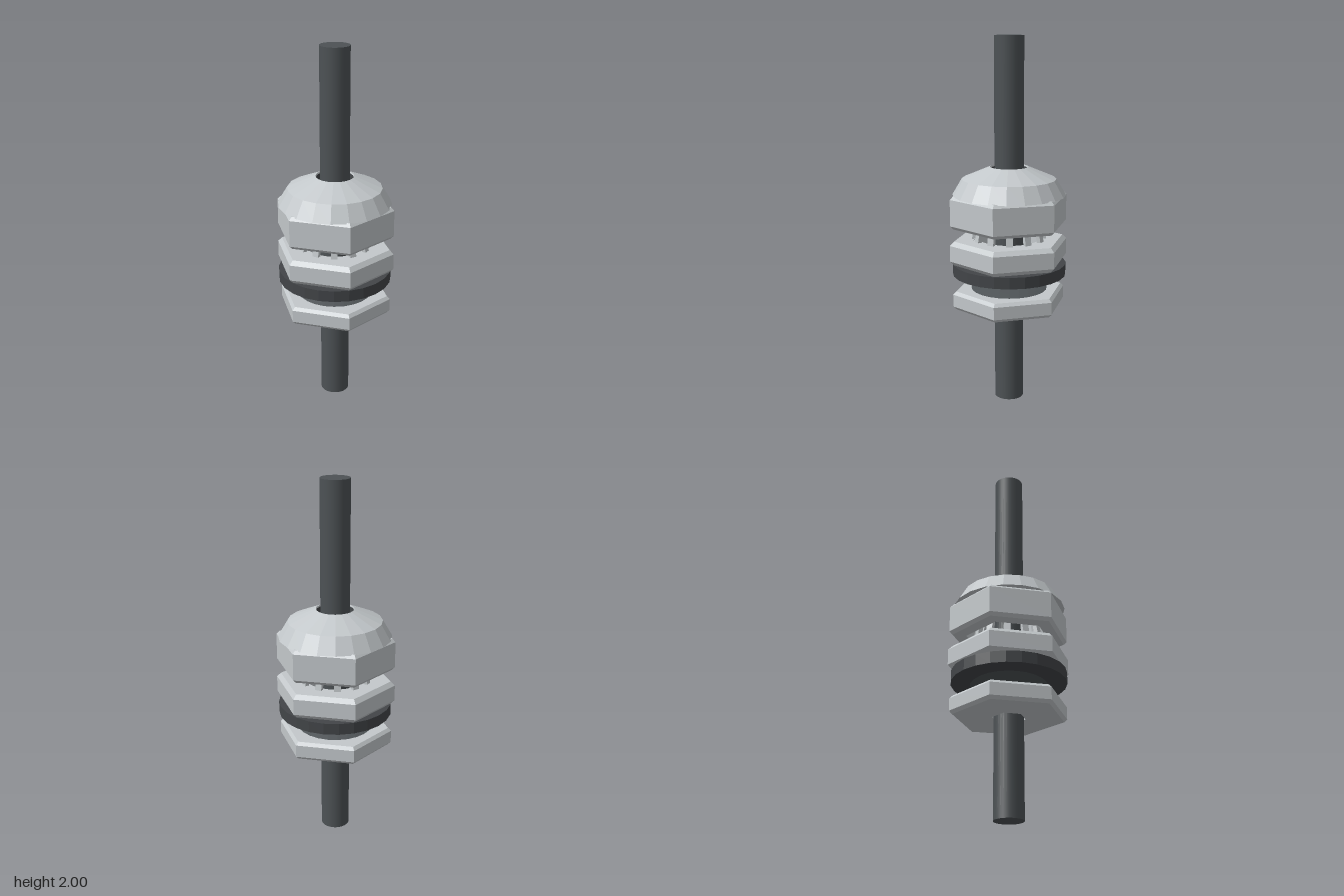
import * as THREE from 'three';

const metal = new THREE.MeshStandardMaterial({ color: 0xc3c8cb });
metal.name = 'light grey metal';
const dark = new THREE.MeshStandardMaterial({ color: 0x4d5255 });
dark.name = 'dark grey cable';
const rubber = new THREE.MeshStandardMaterial({ color: 0x424548 });
rubber.name = 'charcoal rubber';

// Closed profile [radius, y] turned round the y axis with faceted sides
function turned(name, profile, sides, material) {
  const points = [...profile, profile[0]].map(([r, y]) => new THREE.Vector2(r, y));
  const geometry = new THREE.LatheGeometry(points, sides).toNonIndexed();
  geometry.computeVertexNormals();
  const mesh = new THREE.Mesh(geometry, material);
  mesh.name = name;
  return mesh;
}

// Hexagonal nut with chamfered rims; corners lie on the z axis
function hexNut(name, y0, y1, radius, hole, chamfer) {
  const c = chamfer;
  return turned(name, [
    [hole, y0], [radius - c, y0], [radius, y0 + c], [radius, y1 - c],
    [radius - c, y1], [hole, y1],
  ], 6, metal);
}

export function createModel() {
  const model = new THREE.Group();
  model.name = 'cableGland';

  // Cable running through everything
  const cable = new THREE.Mesh(new THREE.CylinderGeometry(0.079, 0.079, 2, 32), dark);
  cable.name = 'cable';
  cable.position.y = 1;
  model.add(cable);

  // Lower lock nut, body nut and cap nut
  model.add(hexNut('lockNut', 0.535, 0.637, 0.316, 0.09, 0.017));
  model.add(hexNut('bodyNut', 0.785, 0.918, 0.33, 0.2, 0.023));
  model.add(hexNut('capNut', 0.985, 1.165, 0.327, 0.235, 0.018));

  // Domed cap with an overhanging rim
  model.add(turned('dome', [
    [0.235, 1.16], [0.307, 1.16], [0.255, 1.248], [0.103, 1.313],
    [0.1, 1.305], [0.235, 1.235],
  ], 20, metal));

  // Funnel-shaped seal inside the dome opening
  model.add(turned('seal', [
    [0.083, 1.17], [0.15, 1.17], [0.15, 1.25], [0.103, 1.311],
  ], 20, rubber));

  // Flat sealing washer
  model.add(turned('washer', [
    [0.17, 0.722], [0.31, 0.722], [0.31, 0.784], [0.17, 0.784],
  ], 24, rubber));

  // Threaded neck with fine ridges
  const ridges = [];
  for (let i = 0; i < 8; i++) {
    const y = 0.632 + i * 0.0125;
    ridges.push([0.188, y], [0.208, y + 0.006]);
  }
  model.add(turned('thread', [[0.15, 0.632], ...ridges, [0.188, 0.735], [0.15, 0.735]], 24, dark));

  // Inner sleeve that carries the clamping fingers
  model.add(turned('sleeve', [
    [0.165, 0.73], [0.21, 0.73], [0.21, 0.916], [0.165, 0.916],
  ], 24, metal));

  // Clamping fingers leaning inward towards the cable
  const fingers = new THREE.Group();
  fingers.name = 'clampingFingers';
  const fingerShape = new THREE.BoxGeometry(0.036, 0.27, 0.022);
  for (let i = 0; i < 12; i++) {
    const arm = new THREE.Group();
    arm.name = 'fingerArm';
    arm.rotation.y = (i + 0.5) * Math.PI / 6;
    const finger = new THREE.Mesh(fingerShape, metal);
    finger.name = 'finger';
    finger.position.set(0, 1.03, 0.172);
    finger.rotation.x = -0.17;
    arm.add(finger);
    fingers.add(arm);
  }
  model.add(fingers);

  return model;
}
